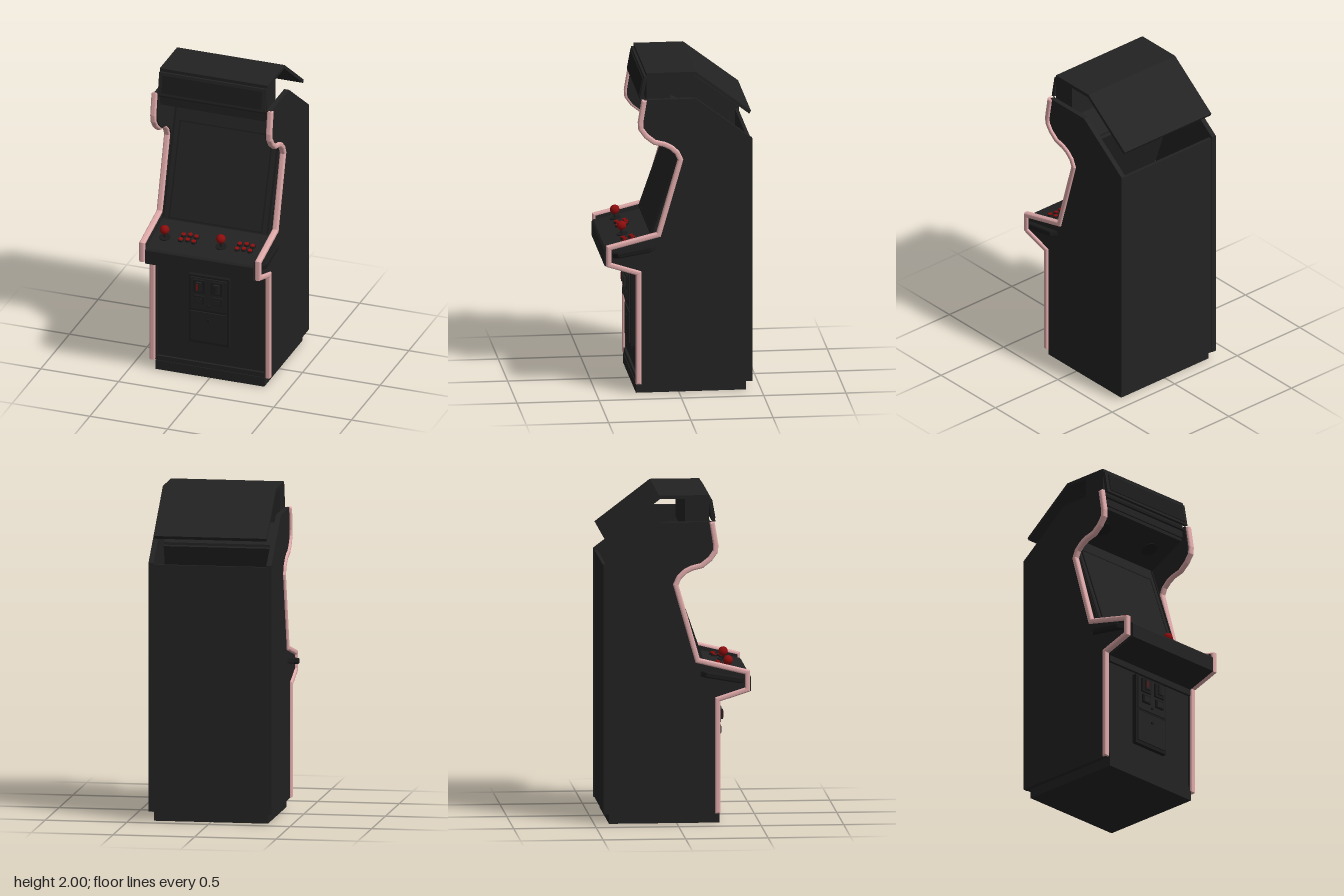
import * as THREE from 'three';

const mat = (name, color) => {
  const m = new THREE.MeshStandardMaterial({ color });
  m.name = name;
  return m;
};

export function createModel() {
  const root = new THREE.Group();
  root.name = 'arcadeCabinet';
  const black = mat('cabinetBlack', 0x222222);
  const hardware = mat('hardwareBlack', 0x1b1b1b);
  const pink = mat('trimPink', 0xdfa9a9);
  const red = mat('controlRed', 0x8c0d0d);

  const add = (name, geo, material, x = 0, y = 0, z = 0, parent = root) => {
    const m = new THREE.Mesh(geo, material);
    m.name = name;
    m.position.set(x, y, z);
    parent.add(m);
    return m;
  };
  const box = (name, w, h, d, x, y, z, material = black, parent = root) =>
    add(name, new THREE.BoxGeometry(w, h, d), material, x, y, z, parent);

  // Side profile given as [z, y] points, extruded across x and centred on x
  const prism = (name, pts, width, x = 0, material = black, bevel = 0) => {
    const shape = new THREE.Shape(pts.map(([z, y]) => new THREE.Vector2(z, y)));
    const depth = width - 2 * bevel;
    const geo = new THREE.ExtrudeGeometry(shape, {
      depth, bevelEnabled: bevel > 0, bevelSize: bevel, bevelThickness: bevel,
      bevelOffset: -bevel, bevelSegments: 3,
    });
    geo.translate(0, 0, -depth / 2).rotateY(-Math.PI / 2);
    return add(name, geo, material, x);
  };

  // Outline of a strip of even width along a polyline, with mitred corners
  const strip = (pts, half) => {
    const dir = (a, b) => new THREE.Vector2(b[0] - a[0], b[1] - a[1]).normalize();
    const side = (s) => pts.map((p, i) => {
      const d0 = dir(pts[Math.max(i - 1, 0)], pts[Math.max(i, 1)]);
      const last = pts.length - 1;
      const d1 = dir(pts[Math.min(i, last - 1)], pts[Math.min(i + 1, last)]);
      const n0 = new THREE.Vector2(-d0.y, d0.x), n1 = new THREE.Vector2(-d1.y, d1.x);
      const m = n0.clone().add(n1).normalize();
      const k = s * half / m.dot(n0);
      return [p[0] + m.x * k, p[1] + m.y * k];
    });
    return [...side(1), ...side(-1).reverse()];
  };

  // Side panels, edge trim and side bumpers
  const front = [
    [0.247, 0.06], [0.247, 0.757], [0.427, 0.815], [0.427, 0.92], [0.125, 0.995],
    [-0.008, 1.46], [0.012, 1.505], [0.05, 1.54], [0.09, 1.56], [0.15, 1.575],
    [0.2, 1.615], [0.232, 1.66], [0.235, 1.7], [0.212, 1.84],
  ];
  const panel = [...front, [-0.1, 1.84], [-0.445, 1.58], [-0.445, 0.06]];
  for (const s of [-1, 1]) {
    const label = s > 0 ? 'left' : 'right';
    prism(label + 'SidePanel', panel, 0.031, s * 0.361);
    prism(label + 'Trim', strip(front, 0.016), 0.037, s * 0.3725, pink, 0.011);

    const plan = new THREE.Shape([[-0.135, 0], [-0.1, 0.036], [0.1, 0.036], [0.135, 0]]
      .map(([a, b]) => new THREE.Vector2(a, s * b)));
    const geo = new THREE.ExtrudeGeometry(plan, {
      depth: 0.02, bevelSize: 0.008, bevelThickness: 0.008, bevelOffset: -0.008, bevelSegments: 2,
    });
    // plan x runs along z, plan y runs along x
    geo.translate(0, 0, -0.01).rotateX(-Math.PI / 2).rotateY(-Math.PI / 2);
    const bumper = add(label + 'Bumper', geo, hardware, s * 0.374, 0.893, 0.275);
    bumper.rotation.x = 0.17;
  }

  // Cabinet shell between the sides
  box('base', 0.7, 0.06, 0.67, 0, 0.03, -0.075);
  box('kickBoard', 0.69, 0.03, 0.02, 0, 0.075, 0.245);
  box('floor', 0.69, 0.02, 0.68, 0, 0.07, -0.1);
  box('frontPanel', 0.69, 0.66, 0.02, 0, 0.4, 0.23);
  box('backPanel', 0.69, 1.51, 0.02, 0, 0.815, -0.43);

  // Control box
  prism('controlBox', [
    [0.45, 0.8], [0.45, 0.888], [0.44, 0.9], [0.13, 0.965], [0.13, 0.7],
    [0.258, 0.7], [0.258, 0.738],
  ], 0.695);

  // Joysticks and buttons on the sloping deck
  const deck = new THREE.Group();
  deck.name = 'controlDeck';
  deck.position.set(0, 0.926, 0.315);
  deck.rotation.x = 0.207;
  root.add(deck);
  const disc = (name, r, h, x, y, z, material) =>
    add(name, new THREE.CylinderGeometry(r, r, h, 24), material, x, y, z, deck);
  for (const x of [-0.27, 0.092]) {
    disc('joystickPlate', 0.034, 0.006, x, 0.003, 0, hardware);
    disc('joystickShaft', 0.006, 0.05, x, 0.026, 0, hardware);
    add('joystickBall', new THREE.SphereGeometry(0.029, 24, 16), red, x, 0.054, -0.008, deck);
    for (let col = 0; col < 3; col++) for (let row = 0; row < 2; row++) {
      const bx = x + 0.106 + col * 0.0415;
      const bz = (row ? 0.004 : -0.045) - (col === 1 ? 0.008 : 0);
      disc('buttonRim', 0.018, 0.01, bx, 0.005, bz, hardware);
      disc('button', 0.0135, 0.016, bx, 0.008, bz, red);
    }
  }

  // Sloping monitor bezel with framed screen
  const monitor = new THREE.Group();
  monitor.name = 'monitor';
  monitor.position.set(0, 1.305, 0.0525);
  monitor.rotation.x = -0.333;
  root.add(monitor);
  box('bezel', 0.69, 0.7, 0.02, 0, 0, -0.012, black, monitor);
  box('screen', 0.586, 0.588, 0.004, 0, -0.04, 0, black, monitor);
  for (const s of [-1, 1]) {
    box('screenFrameSide', 0.008, 0.605, 0.008, s * 0.297, -0.04, 0, hardware, monitor);
    box('screenFrameEnd', 0.602, 0.008, 0.008, 0, -0.04 + s * 0.298, 0, hardware, monitor);
    box('bezelRail', 0.01, 0.68, 0.006, s * 0.335, 0, 0, hardware, monitor);
  }

  // Speaker panel and header under the sign
  prism('speakerPanel', [[-0.065, 1.63], [0.175, 1.75], [0.175, 1.77], [-0.065, 1.65]], 0.69);
  box('header', 0.69, 0.08, 0.02, 0, 1.79, 0.175);
  box('headerLip', 0.69, 0.016, 0.03, 0, 1.822, 0.195, hardware);
  for (const x of [-0.2, 0.2]) {
    const grille = add('speakerGrille', new THREE.CylinderGeometry(0.05, 0.05, 0.006, 24),
      hardware, x, 1.69, 0.055);
    grille.rotation.x = -0.464;
  }

  // Sign box with tilted sign face
  box('signBox', 0.69, 0.22, 0.145, 0, 1.88, 0.123);
  prism('signFace', [[0.236, 1.838], [0.21, 1.98], [0.192, 1.98], [0.216, 1.838]], 0.69);
  prism('signInset', [[0.2385, 1.855], [0.2185, 1.965], [0.205, 1.965], [0.22, 1.855]], 0.64, 0, hardware);

  // Raised hood with an overhanging rear flap
  prism('hood', [
    [0.196, 2], [-0.105, 2], [-0.44, 1.745], [-0.43, 1.727], [-0.1, 1.979], [0.196, 1.979],
  ], 0.692);

  // Coin door
  const coin = new THREE.Group();
  coin.name = 'coinDoor';
  root.add(coin);
  const part = (name, w, h, d, x, y, z, m = hardware) => box(name, w, h, d, x, y, z, m, coin);
  part('doorFrame', 0.26, 0.455, 0.03, -0.003, 0.455, 0.253);
  part('upperDoor', 0.235, 0.21, 0.012, -0.003, 0.565, 0.27, black);
  part('lowerDoor', 0.235, 0.195, 0.012, -0.003, 0.345, 0.27, black);
  for (const y of [0.488, 0.392]) {
    const lock = add('lock', new THREE.CylinderGeometry(0.009, 0.009, 0.012, 16), hardware, -0.003, y, 0.278, coin);
    lock.rotation.x = Math.PI / 2;
  }
  for (const x of [-0.06, 0.053]) {
    part('coinPlate', 0.078, 0.085, 0.014, x, 0.617, 0.282);
    part('coinButton', 0.036, 0.06, 0.022, x, 0.62, 0.292, black);
    part('coinSlot', 0.008, 0.042, 0.004, x - 0.008, 0.62, 0.304, x < 0 ? red : hardware);
    part('returnCup', 0.064, 0.05, 0.018, x, 0.53, 0.282);
    part('returnFlap', 0.05, 0.034, 0.006, x, 0.527, 0.292, black);
  }
  return root;
}
